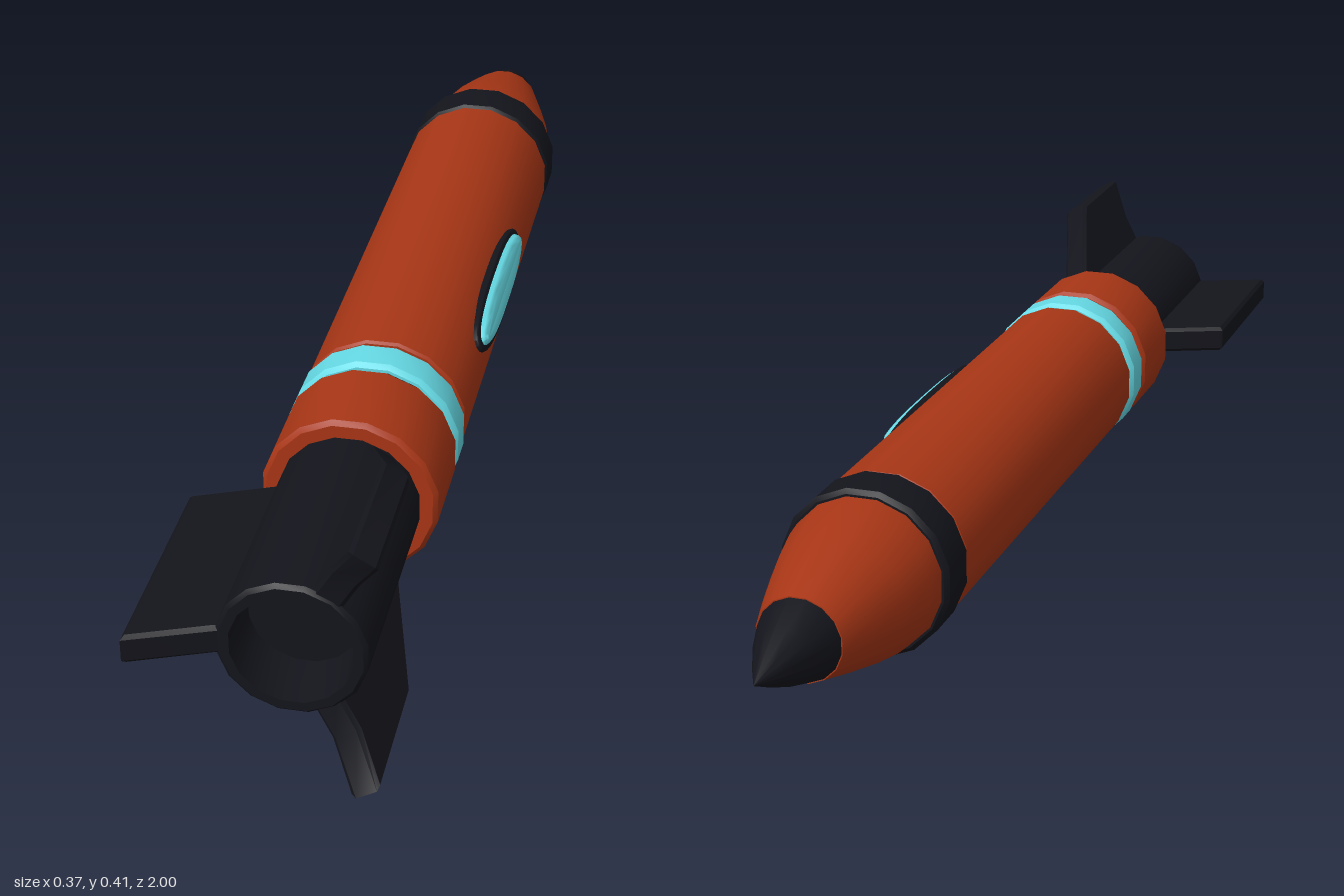
import * as THREE from 'three';
import { toCreasedNormals } from 'three/addons/utils/BufferGeometryUtils.js';

const SIDES = 16;
const orange = new THREE.MeshStandardMaterial({ color: 0xa83616 });
const dark = new THREE.MeshStandardMaterial({ color: 0x14151c });
const cyan = new THREE.MeshStandardMaterial({ color: 0x66dbe6 });

const pts = (list) => list.map(([a, b]) => new THREE.Vector2(a, b));

function part(name, geometry, material) {
  const mesh = new THREE.Mesh(toCreasedNormals(geometry, 0.6), material);
  mesh.name = name;
  return mesh;
}

// Turned part along z, profile of [radius, z] with z rising
function turned(name, profile, material) {
  const geo = new THREE.LatheGeometry(pts(profile), SIDES, Math.PI / SIDES);
  return part(name, geo.rotateX(Math.PI / 2), material);
}

// Closed drum with small chamfers at both rims
function drum(name, r, z0, z1, material, c = 0.007) {
  return turned(name, [[0, z0], [r - c, z0], [r, z0 + c], [r, z1 - c], [r - c, z1], [0, z1]], material);
}

// Bevelled plate, outline kept at its drawn size
function plate(shape, depth, bevel, segments) {
  return new THREE.ExtrudeGeometry(shape, {
    depth: depth - 2 * bevel, bevelThickness: bevel, bevelSize: bevel,
    bevelOffset: -bevel, bevelSegments: segments, steps: 1,
  }).translate(0, 0, bevel - depth / 2);
}

// Fin outline in [radius, z], turned about the body axis
function fin(name, outline, angle) {
  const geo = plate(new THREE.Shape(pts(outline)), 0.046, 0.006, 1);
  return part(name, geo.rotateX(Math.PI / 2).rotateZ(angle), dark);
}

// Long oval pad lying on the side of the body
function oval(name, halfLength, halfWidth, r0, r1, bevel, material) {
  const outline = [];
  for (let i = 0; i < 32; i++) {
    const a = (i / 32) * Math.PI * 2, c = Math.cos(a), s = Math.sin(a);
    outline.push([
      halfLength * Math.sign(c) * Math.abs(c) ** 0.8,
      halfWidth * Math.sign(s) * Math.abs(s) ** 0.8,
    ]);
  }
  const geo = plate(new THREE.Shape(pts(outline)), r1 - r0, bevel, 4);
  geo.rotateY(Math.PI / 2).translate((r0 + r1) / 2, 0, -0.01).rotateZ(0.35);
  return part(name, geo, material);
}

export function createModel() {
  const model = new THREE.Group();
  model.name = 'rocket';
  const body = new THREE.Group();
  body.name = 'rocketBody';
  body.position.set(0.04, 0.204, 0);
  model.add(body);

  // Nose
  body.add(
    turned('noseTip', [[0, -1], [0.022, -0.957], [0.045, -0.905], [0.066, -0.845], [0.06, -0.838], [0, -0.838]], dark),
    turned('noseSection', [[0, -0.85], [0.066, -0.85], [0.086, -0.785], [0.107, -0.71], [0.12, -0.65], [0.126, -0.6], [0, -0.6]], orange),
    drum('noseRing', 0.135, -0.614, -0.528, dark),
  );

  // Hull, bands and the core seen in the grooves
  body.add(
    drum('hull', 0.132, -0.53, 0.345, orange, 0.004),
    drum('core', 0.123, -0.56, 0.5, dark),
    drum('colourBand', 0.135, 0.355, 0.418, cyan),
    drum('tailSection', 0.135, 0.43, 0.586, orange),
  );

  // Hollow exhaust
  body.add(turned('exhaust', [
    [0, 0.55], [0.108, 0.55], [0.108, 0.949], [0.102, 0.955], [0.088, 0.955], [0.082, 0.87], [0, 0.87],
  ], dark));

  // Fins: one long one on the right, two swept ones on the left
  const longFin = [[0.09, 0.597], [0.108, 0.602], [0.225, 0.652], [0.225, 1], [0.108, 0.955], [0.09, 0.95]];
  const sweptFin = [[0.09, 0.56], [0.112, 0.6], [0.225, 0.785], [0.225, 1], [0.15, 0.957], [0.09, 0.95]];
  body.add(
    fin('rightFin', longFin, Math.PI),
    fin('upperFin', sweptFin, Math.PI / 3),
    fin('lowerFin', sweptFin, -Math.PI / 3),
  );

  // Side window
  body.add(
    oval('windowRim', 0.197, 0.038, 0.112, 0.137, 0.004, dark),
    oval('windowGlass', 0.183, 0.029, 0.12, 0.147, 0.013, cyan),
  );

  return model;
}
